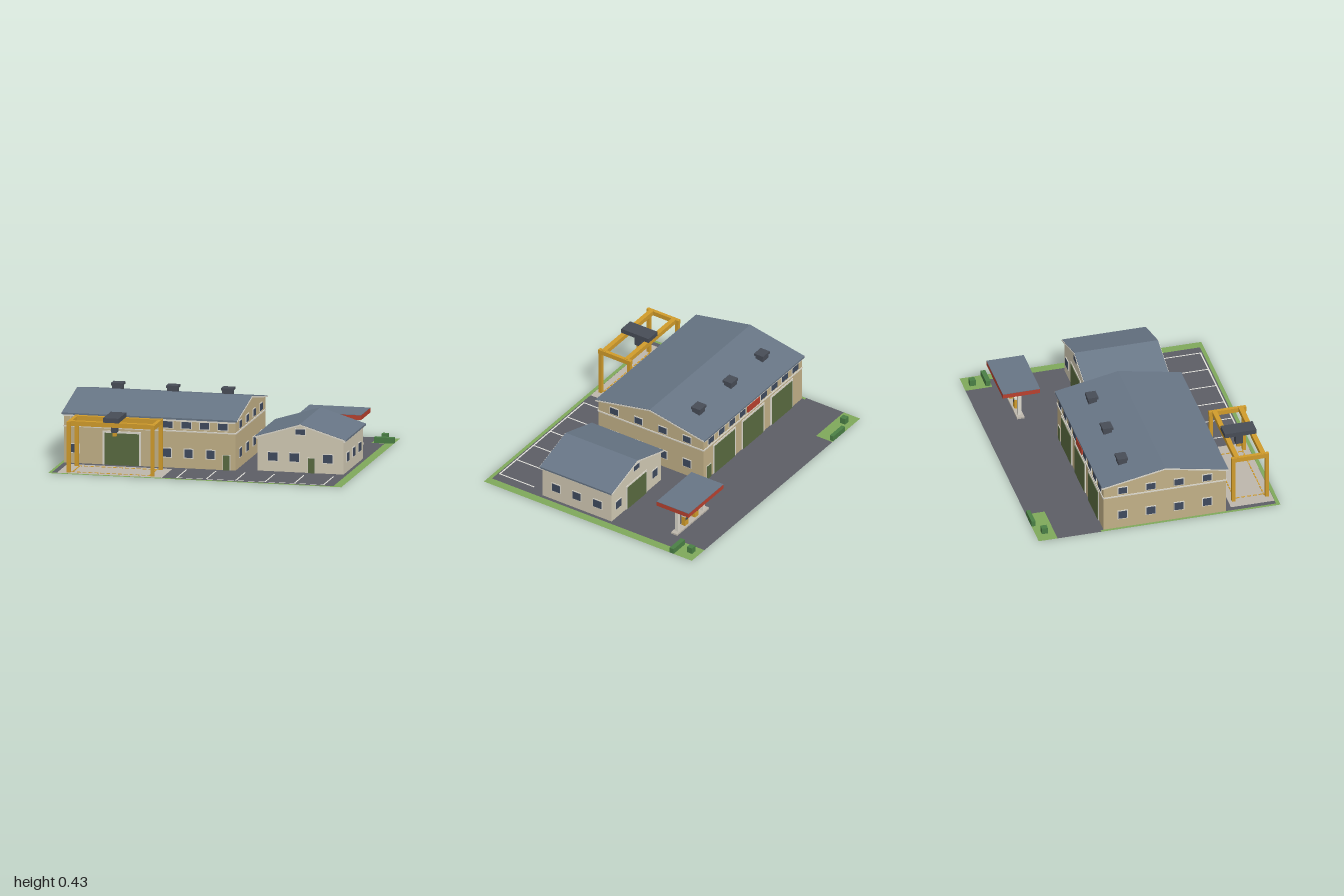
import * as THREE from 'three';

const C = {
  asphalt: 0x5c5d65, grass: 0x7fa85a, concrete: 0xbcb6ab, line: 0xe0dfd8, roof: 0x677585, tan: 0xc2b087,
  cream: 0xd2cab4, trim: 0xdcd8cc, glass: 0x3f4a5e, green: 0x596a40, gold: 0xd09b2b, dark: 0x474c56,
  red: 0xb8412f, bush: 0x4a7f45,
};
const mats = {};
const mat = (c) => (mats[c] ??= new THREE.MeshStandardMaterial({ color: C[c], side: THREE.DoubleSide, flatShading: true }));

function add(parent, name, geometry, color) {
  const m = new THREE.Mesh(geometry, mat(color));
  m.name = name;
  parent.add(m);
  return m;
}
// Box given by its limits on each axis
function box(parent, name, color, x0, x1, y0, y1, z0, z1) {
  const m = add(parent, name, new THREE.BoxGeometry(x1 - x0, y1 - y0, z1 - z0), color);
  m.position.set((x0 + x1) / 2, (y0 + y1) / 2, (z0 + z1) / 2);
  return m;
}
function group(parent, name, x = 0, z = 0, angle = 0) {
  const g = new THREE.Group();
  g.name = name;
  g.position.set(x, 0, z);
  g.rotation.y = angle;
  parent.add(g);
  return g;
}
const poly = (pts) => new THREE.Shape(pts.map(([x, y]) => new THREE.Vector2(x, y)));
const rect = (x0, x1, z0, z1) => poly([[x0, -z0], [x0, -z1], [x1, -z1], [x1, -z0]]);
// Flat ground piece; shape y is -z
function flat(parent, name, color, shape, y = 0) {
  const m = add(parent, name, new THREE.ShapeGeometry(shape), color);
  m.rotation.x = -Math.PI / 2;
  m.position.y = y;
}

// Framed window or door on a wall whose outside faces local +z
function opening(wall, name, color, u, y, w, h, t = 0.006) {
  const bottom = y > 0 ? t : 0;
  box(wall, name + 'Frame', 'trim', u - w / 2 - t, u + w / 2 + t, y - bottom, y + h + t, -0.002, 0.004);
  box(wall, name, color, u - w / 2, u + w / 2, y, y + h, -0.002, 0.007);
}
const windows = (wall, us, y, w = 0.06, h = 0.045) => us.forEach((u) => opening(wall, 'window', 'glass', u, y, w, h));

// Hollow gabled shell, ridge along local z
function shell(parent, color, hw, hd, roofHw, roofHd, eave, peak) {
  const t = 0.012, slope = (peak - eave) / roofHw;
  const wallTop = peak - t - slope * hw;
  for (const s of [-1, 1]) {
    add(parent, 'gableWall', new THREE.ShapeGeometry(
      poly([[-hw, 0], [hw, 0], [hw, wallTop], [0, peak - t], [-hw, wallTop]])), color).position.z = s * hd;
    const side = add(parent, 'sideWall', new THREE.PlaneGeometry(hd * 2, wallTop), color);
    side.position.set(s * hw, wallTop / 2, 0);
    side.rotation.y = s * Math.PI / 2;
    box(parent, 'eaveTrim', 'trim', s * (hw + 0.004) - 0.005, s * (hw + 0.004) + 0.005, wallTop - 0.014, wallTop - 0.002, -hd, hd);
  }
  const chevron = (lift, depth) => new THREE.ExtrudeGeometry(poly([
    [-roofHw, eave - t], [0, peak - t], [roofHw, eave - t], [roofHw, eave - lift], [0, peak - lift], [-roofHw, eave - lift],
  ]), { depth, bevelEnabled: false });
  add(parent, 'roof', chevron(0, roofHd * 2), 'roof').position.z = -roofHd;
  // Pale boards along the gable edges
  for (const z of [-roofHd - 0.003, roofHd]) add(parent, 'bargeBoard', chevron(0.003, 0.003), 'trim').position.z = z;
}

function workshop(root) {
  const g = group(root, 'workshop', -0.395, 0.041);
  shell(group(g, 'workshopShell', 0, 0, Math.PI / 2), 'tan', 0.42, 0.585, 0.434, 0.597, 0.34, 0.425);
  const front = group(g, 'frontWall', 0, 0.42);
  const back = group(g, 'backWall', 0, -0.42, Math.PI);
  const upper = [-4, -3, -2, -1, 1, 2, 3, 4].map((i) => i * 0.125);
  for (const w of [front, back]) {
    windows(w, upper, 0.27, 0.063, 0.043);
    box(w, 'beltCourse', 'trim', -0.588, 0.588, 0.245, 0.254, -0.002, 0.005);
  }
  windows(front, [-0.51, 0.12, 0.265, 0.415], 0.073, 0.055, 0.055);
  opening(front, 'largeDoor', 'green', -0.19, 0, 0.235, 0.215, 0.014);
  opening(front, 'smallDoor', 'green', 0.524, 0, 0.045, 0.1, 0.003);
  for (const u of [-0.34, 0, 0.34]) opening(back, 'largeDoor', 'green', u, 0, 0.24, 0.215, 0.014);
  opening(back, 'smallDoor', 'green', -0.524, 0, 0.045, 0.1, 0.003);
  box(back, 'signBoard', 'red', -0.07, 0.07, 0.265, 0.315, 0, 0.012);
  for (const s of [-1, 1]) {
    const end = group(g, 'endWall', s * 0.585, 0, s * Math.PI / 2);
    const us = [-0.29, -0.097, 0.097, 0.29];
    windows(end, us, 0.27);
    windows(end, us, 0.073, 0.06, 0.055);
    box(end, 'beltCourse', 'trim', -0.42, 0.42, 0.245, 0.254, -0.002, 0.005);
  }
  // Roof ventilators
  for (const x of [-0.375, 0, 0.375]) {
    box(g, 'roofVent', 'dark', x - 0.034, x + 0.034, 0.355, 0.41, -0.27, -0.212);
    box(g, 'roofVentCap', 'dark', x - 0.04, x + 0.04, 0.405, 0.422, -0.277, -0.205);
  }
}

function office(root) {
  const g = group(root, 'office', 0.623, 0.143);
  shell(g, 'cream', 0.293, 0.276, 0.31, 0.287, 0.235, 0.33);
  const front = group(g, 'frontWall', 0, 0.276);
  const back = group(g, 'backWall', 0, -0.276, Math.PI);
  for (const w of [front, back]) windows(w, [0], 0.257, 0.063, 0.035);
  windows(front, [-0.188, -0.041, 0.187], 0.073, 0.063, 0.055);
  opening(front, 'smallDoor', 'green', 0.073, 0, 0.043, 0.1, 0.003);
  opening(back, 'garageDoor', 'green', 0, 0, 0.22, 0.17, 0.012);
  windows(back, [-0.215, 0.215], 0.073, 0.06, 0.055);
  for (const s of [-1, 1]) {
    windows(group(g, 'sideWall', s * 0.293, 0, s * Math.PI / 2), [-0.165, 0, 0.165], 0.073, 0.063, 0.055);
  }
}

function gantryCrane(root) {
  const g = group(root, 'gantryCrane', -0.587, 0.655);
  for (const s of [-1, 1]) {
    const x = s * 0.286, z = s * 0.09;
    for (const t of [-1, 1]) {
      box(g, 'craneLeg', 'gold', x - 0.012, x + 0.012, 0, 0.32, t * 0.114 - 0.012, t * 0.114 + 0.012);
    }
    box(g, 'endBeam', 'gold', x - 0.012, x + 0.012, 0.31, 0.342, -0.128, 0.128);
    box(g, 'girder', 'gold', -0.29, 0.29, 0.313, 0.345, z - 0.016, z + 0.016);
  }
  box(g, 'trolley', 'dark', -0.053, 0.053, 0.345, 0.376, -0.109, 0.109);
  box(g, 'hoist', 'dark', -0.02, 0.02, 0.262, 0.345, -0.025, 0.025);
  box(g, 'hook', 'gold', -0.012, 0.012, 0.235, 0.262, -0.015, 0.015);
  // Dashed markings on the slab
  for (let i = 0; i < 14; i++) {
    const x = -0.26 + i * 0.04;
    for (const z of [-0.1, 0.1]) box(g, 'floorDash', 'gold', x - 0.013, x + 0.013, 0, 0.003, z - 0.004, z + 0.004);
  }
  for (let i = 0; i < 5; i++) {
    const z = -0.08 + i * 0.04;
    for (const x of [-0.262, 0.262]) box(g, 'floorDash', 'gold', x - 0.004, x + 0.004, 0, 0.003, z - 0.013, z + 0.013);
  }
}

function fuelStation(root) {
  const g = group(root, 'fuelStation', 0.623, -0.563);
  box(g, 'island', 'concrete', -0.19, 0.19, 0, 0.012, -0.025, 0.025);
  box(g, 'canopy', 'red', -0.207, 0.207, 0.195, 0.226, -0.128, 0.128);
  box(g, 'canopyTop', 'roof', -0.207, 0.207, 0.225, 0.229, -0.128, 0.128);
  box(g, 'canopySoffit', 'concrete', -0.2, 0.2, 0.192, 0.196, -0.122, 0.122);
  for (const s of [-1, 1]) {
    const c = s * 0.147, p = s * 0.06;
    box(g, 'canopyColumn', 'trim', c - 0.012, c + 0.012, 0, 0.195, -0.012, 0.012);
    box(g, 'pump', 'gold', p - 0.02, p + 0.02, 0.012, 0.08, -0.014, 0.014);
    box(g, 'pumpHead', 'trim', p - 0.02, p + 0.02, 0.08, 0.092, -0.014, 0.014);
    box(g, 'pumpDisplay', 'dark', p - 0.013, p + 0.013, 0.055, 0.073, -0.016, 0.016);
  }
}

export function createModel() {
  const root = new THREE.Group();
  root.name = 'depot';
  // Paved yard, cut away under the buildings and the crane slab
  const yard = poly([[-1, 0.7], [-0.67, 0.7], [-0.67, 0.83], [0.85, 0.83], [0.85, 0.645], [0.94, 0.645],
    [0.94, -0.805], [-0.98, -0.805], [-0.98, 0.4], [-1, 0.4]]);
  const slab = [-0.945, -0.23, 0.505, 0.804];
  yard.holes.push(rect(-0.979, 0.19, -0.379, 0.461), rect(0.33, 0.916, -0.133, 0.419), rect(...slab));
  flat(root, 'yard', 'asphalt', yard);
  flat(root, 'craneSlab', 'concrete', rect(...slab));
  [[-1, -0.67, -0.83, -0.7], [0.85, 1, -0.83, -0.645], [0.94, 1, -0.645, 0.805], [-1, 1, 0.805, 0.83],
    [-1, -0.98, -0.4, 0.805]].forEach((r) => flat(root, 'grass', 'grass', rect(...r)));
  // Parking bays
  for (let i = 0; i < 6; i++) {
    const x = -0.13 + i * 0.2;
    flat(root, 'bayLine', 'line', rect(x - 0.005, x + 0.005, 0.515, 0.785), 0.003);
  }
  flat(root, 'bayEndLine', 'line', rect(-0.135, 0.875, 0.785, 0.795), 0.003);

  workshop(root);
  office(root);
  gantryCrane(root);
  fuelStation(root);

  // Clipped shrubs
  [[-0.82, -0.68, -0.83, -0.803], [0.866, 1, -0.685, -0.653]].forEach(([a, b, c, d]) =>
    box(root, 'hedge', 'bush', a, b, 0, 0.038, c, d));
  for (const x of [-0.905, 0.913]) box(root, 'shrub', 'bush', x - 0.02, x + 0.02, 0, 0.043, -0.787, -0.747);
  return root;
}
